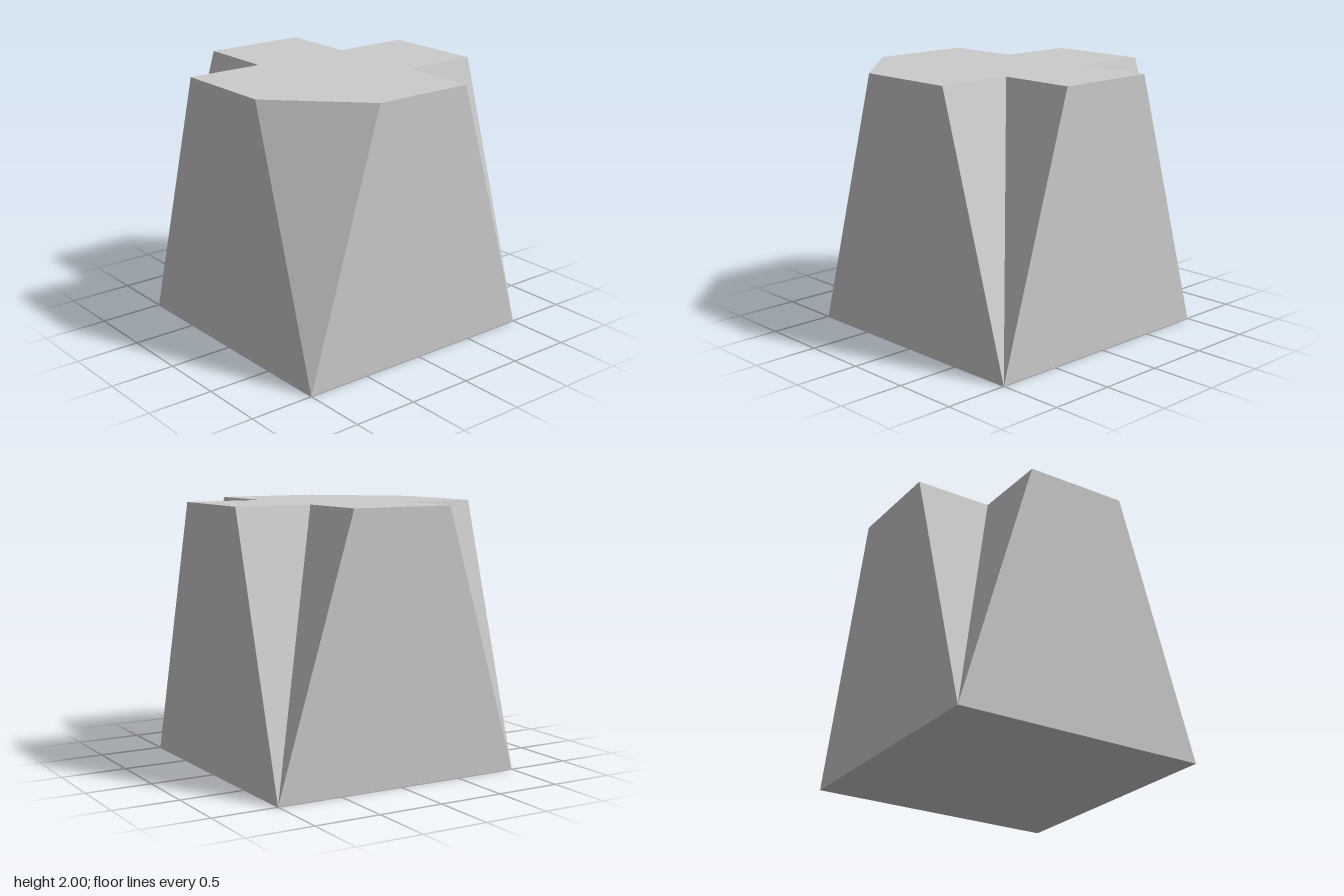
import * as THREE from 'three';

const HEIGHT = 2, HALF = 1, ARM = 0.4;

// Quarter turns about y, stepping round the four corners
function turn(x, y, z, quarter) {
  for (let i = 0; i < quarter % 4; i++) [x, z] = [-z, x];
  return new THREE.Vector3(x, y, z);
}

function makeMesh(name, triangles, material) {
  const geometry = new THREE.BufferGeometry().setFromPoints(triangles);
  geometry.computeVertexNormals();
  const mesh = new THREE.Mesh(geometry, material);
  mesh.name = name;
  return mesh;
}

export function createModel() {
  const group = new THREE.Group();
  group.name = 'notchedBlock';
  const material = new THREE.MeshStandardMaterial({ color: 0xcccccc, flatShading: true });

  // Square base corners, and the top outline points above each one;
  // the front left corner is a plain bevel, the others are notched inwards
  const base = [], top = [];
  for (let k = 0; k < 4; k++) {
    base.push(turn(HALF, 0, HALF, k));
    const points = [turn(HALF, HEIGHT, ARM, k), turn(ARM, HEIGHT, HALF, k)];
    if (k > 0) points.splice(1, 0, turn(ARM, HEIGHT, ARM, k));
    top.push(points);
  }

  // Tapered sides and corner facets
  for (let k = 0; k < 4; k++) {
    const next = (k + 1) % 4, points = top[k];
    const last = points[points.length - 1], first = top[next][0];
    group.add(makeMesh('side', [base[k], last, first, base[k], first, base[next]], material));
    const facets = [];
    for (let i = 0; i + 1 < points.length; i++) facets.push(base[k], points[i], points[i + 1]);
    group.add(makeMesh(k === 0 ? 'cornerBevel' : 'cornerNotch', facets, material));
  }

  // Cross-shaped top, fanned from its centre
  const centre = new THREE.Vector3(0, HEIGHT, 0);
  const outline = top.flat();
  const cap = outline.flatMap((p, i) => [centre, outline[(i + 1) % outline.length], p]);
  group.add(makeMesh('top', cap, material));

  // Square underside
  group.add(makeMesh('underside', [base[0], base[1], base[2], base[0], base[2], base[3]], material));
  return group;
}
